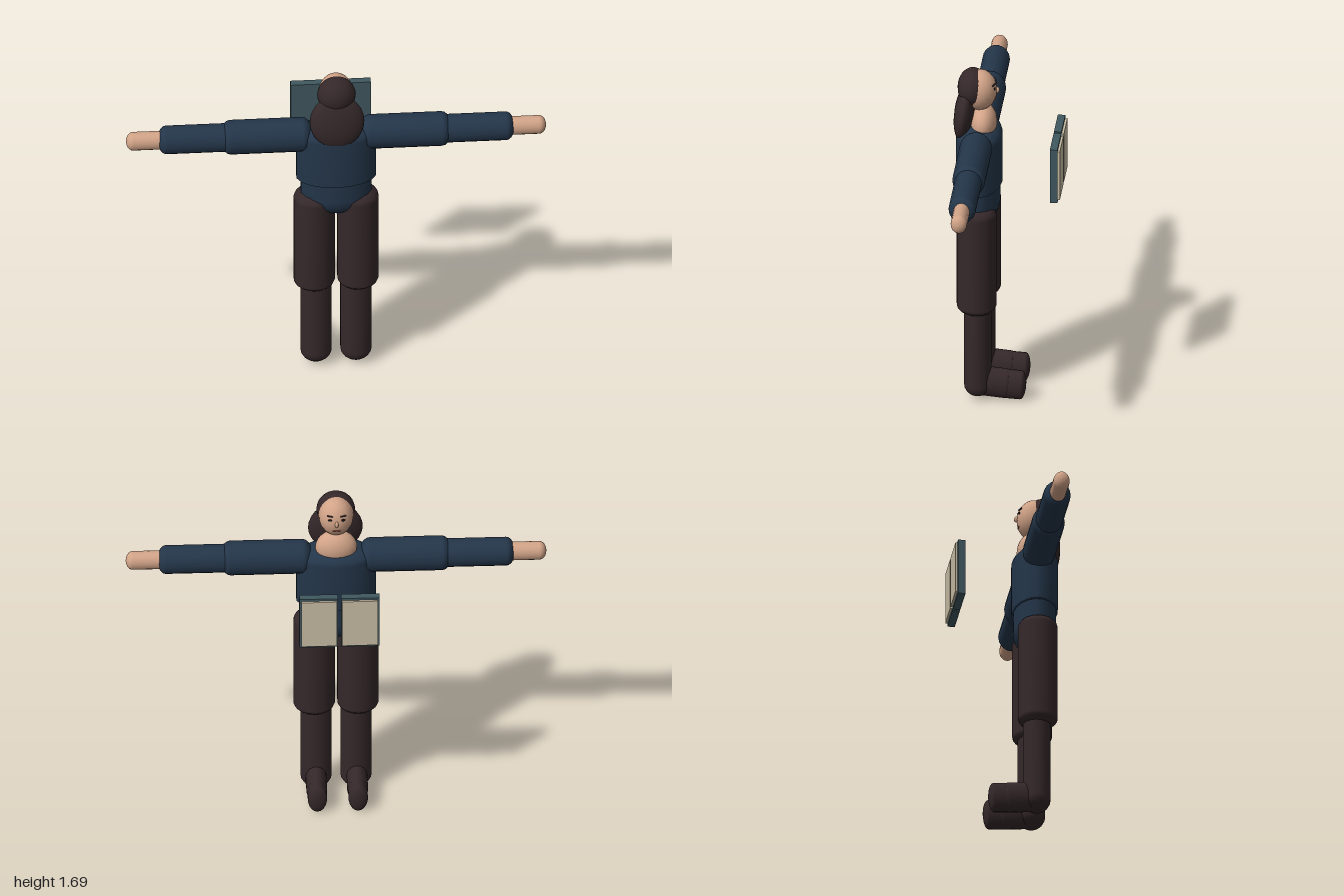
import * as THREE from 'three';

const mat = (name, color) => {
  const m = new THREE.MeshStandardMaterial({ color });
  m.name = name;
  return m;
};

export function createModel() {
  const skin = mat('skin', 0xd2a488);
  const navy = mat('navy cloth', 0x24364a);
  const brown = mat('dark brown', 0x35282a);
  const teal = mat('book cover', 0x405860);
  const paper = mat('paper', 0xcabfa6);
  const ink = mat('eye dark', 0x1c1818);
  const lip = mat('lips', 0x9a5a50);

  const model = new THREE.Group();
  model.name = 'figureWithBook';
  const Z = 0.138; // depth of the body axis

  const add = (name, geo, material, x, y, z) => {
    const mesh = new THREE.Mesh(geo, material);
    mesh.name = name;
    mesh.position.set(x, y, z);
    model.add(mesh);
    return mesh;
  };

  // Upright rounded cylinder with elliptical section and domed ends, centred on the origin
  const rounded = (length, rx, rz, bottomDome, topDome) => {
    const pts = [];
    const steps = 5;
    const h = length / 2;
    for (let i = 0; i <= steps; i++) {
      const a = (i / steps) * Math.PI / 2;
      pts.push(new THREE.Vector2(Math.sin(a), -h + bottomDome * (1 - Math.cos(a))));
    }
    for (let i = 0; i <= steps; i++) {
      const a = (i / steps) * Math.PI / 2;
      pts.push(new THREE.Vector2(Math.cos(a), h - topDome * (1 - Math.sin(a))));
    }
    pts[0].x = pts[pts.length - 1].x = 0;
    return new THREE.LatheGeometry(pts, 18).scale(rx, 1, rz);
  };
  const ellipsoid = (rx, ry, rz, w = 20, h = 14) =>
    new THREE.SphereGeometry(1, w, h).scale(rx, ry, rz);

  // Torso
  add('chest', rounded(0.32, 0.192, 0.11, 0.008, 0.065), navy, 0, 1.26, Z);
  add('abdomen', rounded(0.4, 0.17, 0.101, 0.11, 0.02), navy, 0, 1.1, Z);
  add('neck', ellipsoid(0.1, 0.09, 0.063), skin, 0, 1.42, 0.116);

  // Head and hair
  add('head', ellipsoid(0.083, 0.101, 0.082), skin, 0, 1.59, 0.135);
  add('hairCap', ellipsoid(0.092, 0.094, 0.072), brown, 0, 1.603, 0.169);
  const hair = add('longHair', ellipsoid(0.13, 0.143, 0.048), brown, 0, 1.472, 0.208);
  hair.rotation.x = -0.12;

  // Face
  add('nose', ellipsoid(0.009, 0.016, 0.012, 10, 8), skin, 0, 1.592, 0.052);
  add('mouth', ellipsoid(0.02, 0.0045, 0.004, 10, 8), lip, 0, 1.549, 0.061);

  for (const s of [1, -1]) {
    const side = s > 0 ? 'left' : 'right';
    add(side + 'Eye', ellipsoid(0.011, 0.006, 0.004, 10, 8), ink, s * 0.031, 1.612, 0.061);
    add(side + 'Brow', new THREE.BoxGeometry(0.028, 0.005, 0.006), brown, s * 0.032, 1.632, 0.065)
      .rotation.y = s * -0.35;

    // Arms, stretched sideways
    const armPart = (name, inner, outer, ry, rz, dome, material) => {
      const geo = rounded(outer - inner, ry, rz, dome, dome);
      add(side + name, geo, material, s * (inner + outer) / 2, 1.353, Z).rotation.z = -s * Math.PI / 2;
    };
    armPart('UpperArm', 0.11, 0.553, 0.085, 0.078, 0.05, navy);
    armPart('Forearm', 0.45, 0.85, 0.07, 0.065, 0.04, navy);
    armPart('Hand', 0.76, 1.0, 0.047, 0.039, 0.033, skin);

    // Legs
    add(side + 'Thigh', rounded(0.575, 0.099, 0.095, 0.045, 0.055), brown, s * 0.104, 0.7475, 0.14);
    add(side + 'Shin', rounded(0.52, 0.075, 0.066, 0.065, 0.04), brown, s * 0.095, 0.28, 0.136);

    // Feet point towards -z and dip slightly
    add(side + 'Foot', rounded(0.2, 0.05, 0.075, 0.04, 0.03), brown, s * 0.097, 0.093, 0.068)
      .rotation.x = -Math.PI / 2 - 0.09;
    add(side + 'Toe', rounded(0.12, 0.046, 0.074, 0.03, 0.025), brown, s * 0.097, 0.084, -0.036)
      .rotation.x = -Math.PI / 2 - 0.05;

    // Open book: one cover and one page block per side
    add(side + 'Cover', new THREE.BoxGeometry(0.183, 0.28, 0.036), teal, s * 0.099, 1.24, -0.236);
    add(side + 'Pages', new THREE.BoxGeometry(0.169, 0.256, 0.012), paper, s * 0.097, 1.24, -0.259);
  }
  return model;
}
